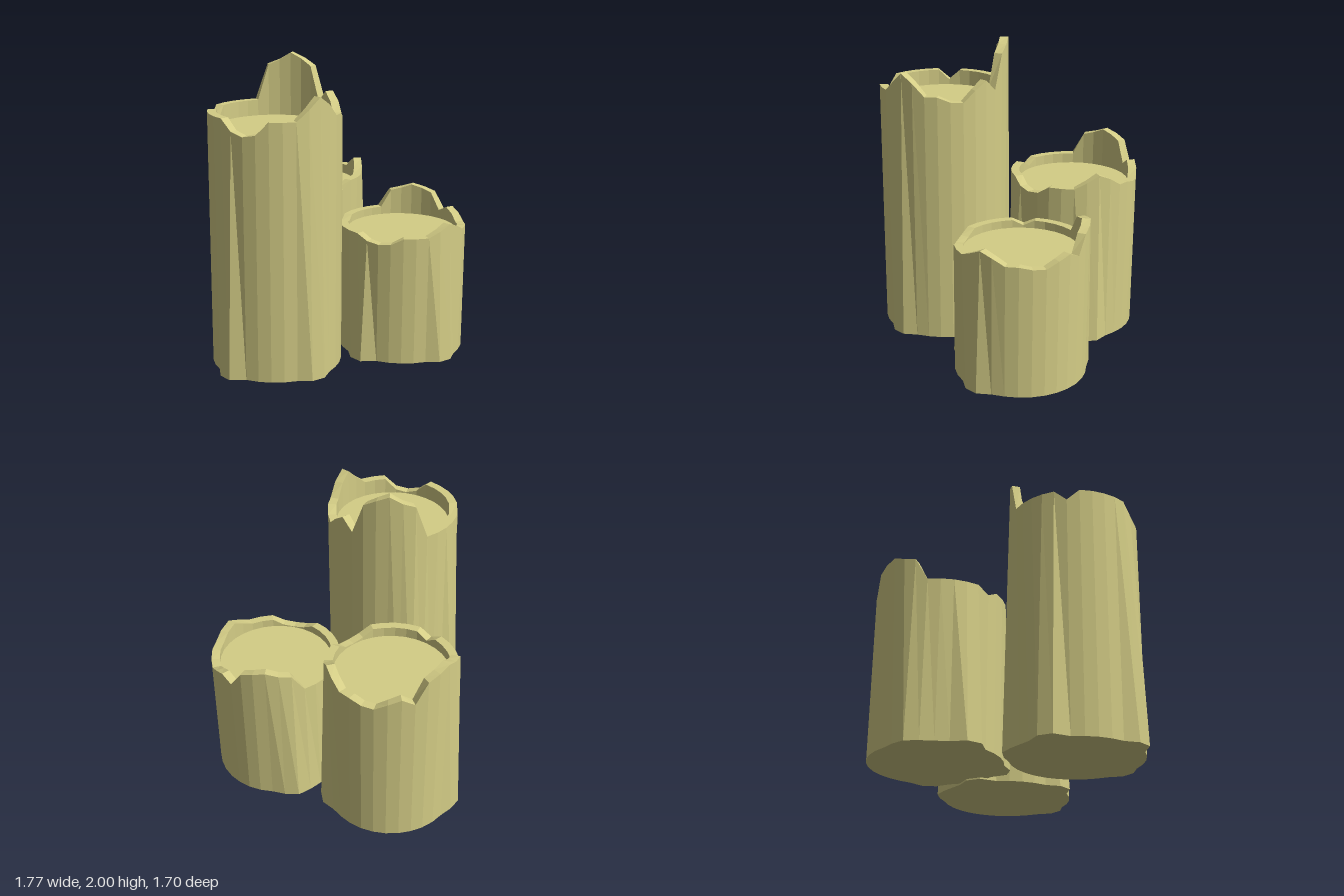
import * as THREE from 'three';

const N = 32, OUTER = 0.425, INNER = 0.37, POOL = 0.938;

// Rim height at each step round the candle, as a share of its height (unlisted steps are 1)
const RIM = {
  0: 1.048, 1: 1.081, 2: 1.039, 6: 0.952, 7: 0.943, 8: 0.958, 14: 0.958,
  20: 1.138, 21: 1.157, 22: 1.186, 23: 1.165, 24: 1.138, 25: 1.006,
  26: 1.051, 27: 1.018, 28: 0.976, 29: 0.98,
};

// Radius of the wax drips where they spread at the foot (unlisted steps are OUTER)
const FOOT = {
  0: 0.43, 1: 0.469, 2: 0.465, 8: 0.485, 9: 0.475, 15: 0.497, 16: 0.5,
  17: 0.45, 18: 0.445, 19: 0.457, 20: 0.474, 21: 0.45,
};

const rim = (k) => RIM[k] ?? 1;
const foot = (k) => FOOT[k] ?? OUTER;

// Joins rings, each a rule k -> [radius, height], into faceted bands
function loft(rings, height) {
  const pos = [];
  const point = (ring, k) => {
    const [r, y] = ring(k % N);
    const a = (k / N) * Math.PI * 2;
    return [r * Math.cos(a), y * height, r * Math.sin(a)];
  };
  for (let i = 0; i < rings.length - 1; i++) {
    for (let k = 0; k < N; k++) {
      const a = point(rings[i], k), b = point(rings[i + 1], k);
      const c = point(rings[i + 1], k + 1), d = point(rings[i], k + 1);
      pos.push(...a, ...b, ...c, ...a, ...c, ...d);
    }
  }
  const g = new THREE.BufferGeometry();
  g.setAttribute('position', new THREE.Float32BufferAttribute(pos, 3));
  g.computeVertexNormals();
  return g;
}

export function createModel() {
  const model = new THREE.Group();
  model.name = 'candleCluster';

  const wax = new THREE.MeshStandardMaterial({ color: 0xd4cd86 });
  wax.name = 'wax';

  const footRing = (k) => [foot(k), 0];
  const rimOuter = (k) => [OUTER, rim(k)];
  const rimInner = (k) => [INNER, rim(k)];
  const poolEdge = () => [INNER, POOL];

  function candle(name, x, y, z, height, turn) {
    const group = new THREE.Group();
    group.name = name;
    const add = (part, rings) => {
      const mesh = new THREE.Mesh(loft(rings, height), wax);
      mesh.name = part;
      group.add(mesh);
    };
    add('base', [() => [0, 0], footRing]);
    add('outerWall', [footRing, rimOuter]);
    add('meltedRim', [rimOuter, rimInner, poolEdge]);
    add('waxPool', [poolEdge, () => [0, POOL]]);
    group.position.set(x, y, z);
    group.rotation.y = (turn / N) * Math.PI * 2;
    model.add(group);
  }

  candle('tallCandle', -0.04, 0.025, 0.36, 1.665, 0);
  candle('middleCandle', -0.425, 0.01, -0.425, 1.07, 5);
  candle('shortCandle', 0.425, 0, -0.425, 0.86, 0);

  return model;
}
